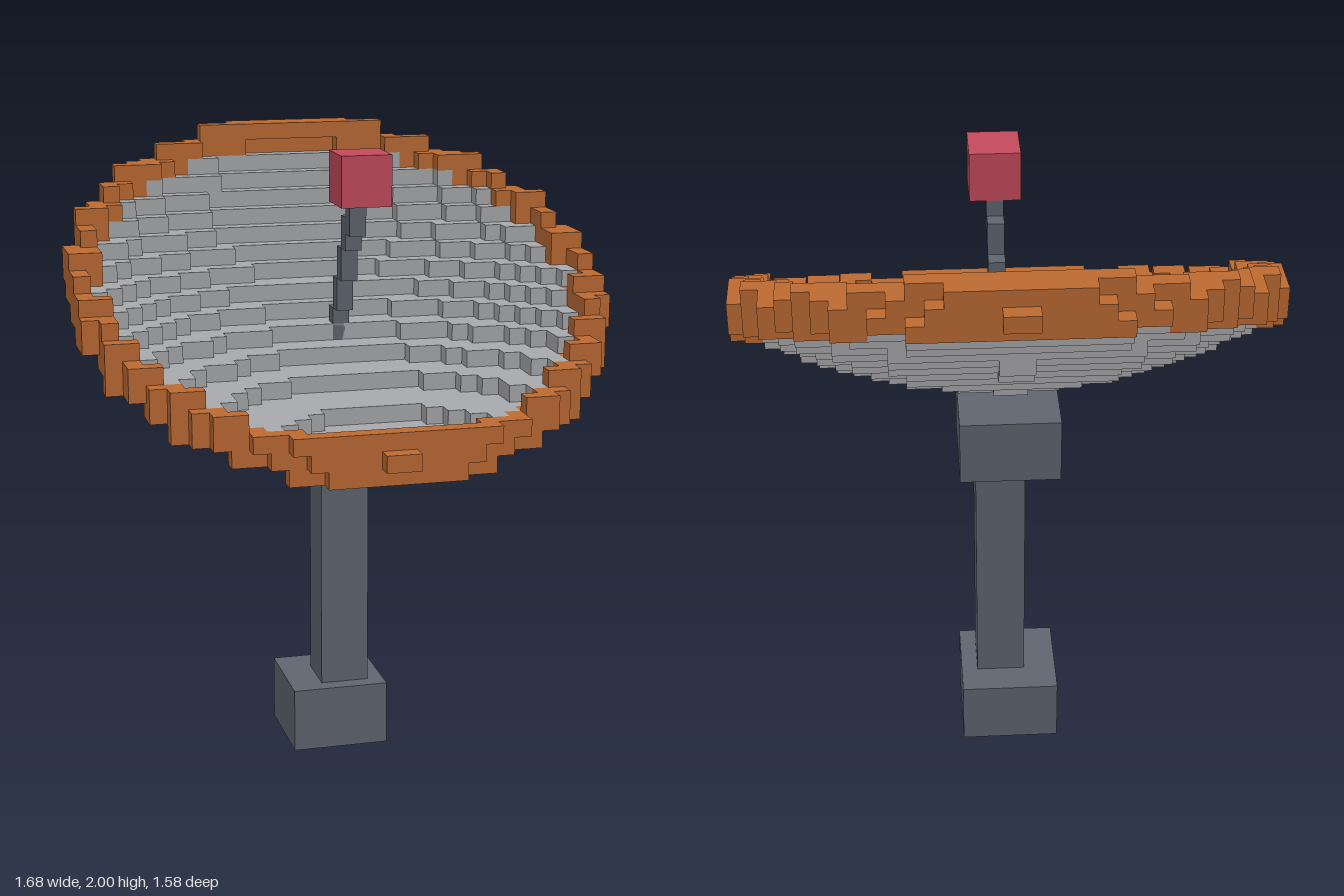
import * as THREE from 'three';

// One voxel; all positions below are counted in voxels.
const S = 2 / 38;

const material = (name, color, side = THREE.FrontSide) => {
  const m = new THREE.MeshStandardMaterial({ color, side });
  m.name = name;
  return m;
};

// Box spanning two voxel corners.
function block(name, [x0, y0, z0], [x1, y1, z1], mat) {
  const geo = new THREE.BoxGeometry((x1 - x0) * S, (y1 - y0) * S, (z1 - z0) * S);
  geo.translate(((x0 + x1) / 2) * S, ((y0 + y1) / 2) * S, ((z0 + z1) / 2) * S);
  const mesh = new THREE.Mesh(geo, mat);
  mesh.name = name;
  return mesh;
}

// Decide what fills a voxel of the tilted dish: 'rim', 'bowl' or nothing.
const TILT = THREE.MathUtils.degToRad(28);
const RADIUS = 16, DEPTH = 4.2, CENTRE_Y = 29.5;
function dishPart(i, j, k) {
  const x = i + 0.5, y = j + 0.5 - CENTRE_Y, z = k + 0.5;
  const w = y * Math.cos(TILT) + z * Math.sin(TILT); // along the dish axis
  const u = z * Math.cos(TILT) - y * Math.sin(TILT); // across the dish
  const r = Math.hypot(x, u);
  if (r > 14.6) return r < 16.1 && Math.abs(w) < 1.25 ? 'rim' : null;
  const above = w - DEPTH * ((r / RADIUS) ** 2 - 1);
  return above > -0.7 && above < 1 ? 'bowl' : null;
}

// Exposed faces of every voxel belonging to one part of the dish.
function voxelSkin(part) {
  const positions = [], normals = [];
  const addFace = (cell, axis, sign) => {
    const a = (axis + 1) % 3, b = (axis + 2) % 3;
    const corner = (da, db) => {
      const p = [...cell];
      p[axis] += sign > 0 ? 1 : 0;
      p[a] += da;
      p[b] += db;
      return p.map((v) => v * S);
    };
    const q = [corner(0, 0), corner(1, 0), corner(1, 1), corner(0, 1)];
    if (sign < 0) q.reverse();
    const n = [0, 0, 0];
    n[axis] = sign;
    for (const c of [0, 1, 2, 0, 2, 3]) {
      positions.push(...q[c]);
      normals.push(...n);
    }
  };
  for (let i = -17; i < 17; i++)
    for (let j = 19; j < 40; j++)
      for (let k = -16; k < 16; k++) {
        if (dishPart(i, j, k) !== part) continue;
        for (let axis = 0; axis < 3; axis++)
          for (const sign of [-1, 1]) {
            const next = [i, j, k];
            next[axis] += sign;
            if (!dishPart(...next)) addFace([i, j, k], axis, sign);
          }
      }
  const geo = new THREE.BufferGeometry();
  geo.setAttribute('position', new THREE.Float32BufferAttribute(positions, 3));
  geo.setAttribute('normal', new THREE.Float32BufferAttribute(normals, 3));
  return geo;
}

export function createModel() {
  const model = new THREE.Group();
  model.name = 'dishAntenna';
  const slate = material('slate', 0x5f6670, THREE.DoubleSide);
  const grey = material('pale grey', 0xa8a9ac);
  const orange = material('orange', 0xbd6a32);
  const red = material('red', 0xc44a5c);

  // Stand: a foot open underneath, a post and a mounting block
  const foot = block('foot', [-3, 0, -5], [3, 4, 1], slate);
  const index = Array.from(foot.geometry.index.array);
  index.splice(18, 6); // drop the bottom face
  foot.geometry.setIndex(index);
  foot.geometry.clearGroups();
  model.add(foot);
  model.add(block('post', [-1, 4, -3], [2, 20, 0], slate));
  model.add(block('mount', [-3, 20, -5], [3, 24, 1], slate));

  // Dish
  for (const [part, mat] of [['bowl', grey], ['rim', orange]]) {
    const mesh = new THREE.Mesh(voxelSkin(part), mat);
    mesh.name = part;
    model.add(mesh);
  }

  // Stepped feed arm rising from the dish centre to the receiver
  const arm = new THREE.Group();
  arm.name = 'feedArm';
  [[25, 28], [28, 30], [30, 32], [32, 34], [33, 35]].forEach(([y0, y1], n) => {
    arm.add(block('armStep', [0, y0, n - 2], [1, y1, n - 1], slate));
  });
  model.add(arm);
  model.add(block('receiver', [-1, 35, 2], [2, 38, 5], red));

  return model;
}
